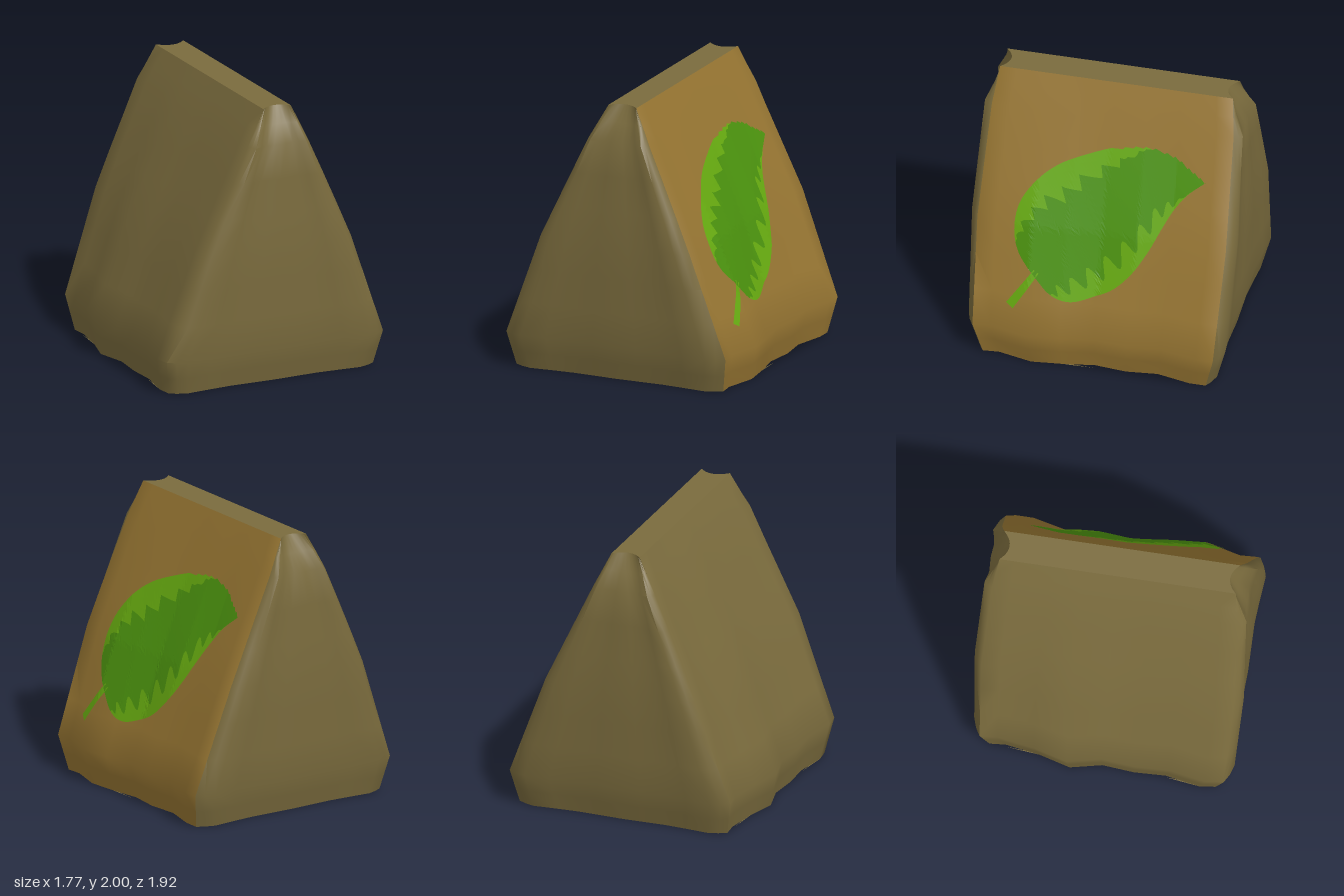
import * as THREE from 'three';
import { toCreasedNormals } from 'three/addons/utils/BufferGeometryUtils.js';

// Piecewise linear lookup
function table(xs, ys, x) {
  let i = 1;
  while (i < xs.length - 1 && x > xs[i]) i++;
  const t = THREE.MathUtils.clamp((x - xs[i - 1]) / (xs[i] - xs[i - 1]), 0, 1);
  return ys[i - 1] + (ys[i] - ys[i - 1]) * t;
}

// Cross-section rules by height
const LEVELS = [0, 0.25, 1, 1.75, 2];
const ROWS = [0, 0.12, 0.25, 0.5, 0.75, 1, 1.25, 1.5, 1.75, 1.88, 2];
const halfWidth = y => table(LEVELS, [0.835, 0.885, 0.6, 0.24, 0.107], y);
const depthScale = y => table(LEVELS, [0.9, 0.97, 1, 0.97, 0.933], y);
const ripple = y => table(LEVELS, [1, 1, 1, 0.5, 0], y);
const shift = y => table(LEVELS, [0, 0, 0, 0.005, 0.015], y);

// Rippled slopes, sampled from back to front
const SIDE_Z = [-0.9, -0.77, -0.5, -0.25, 0, 0.25, 0.5, 0.77, 0.9];
const LEFT_WAVE = [0.88, 0.88, 0.82, 0.845, 0.82, 0.86, 0.885, 0.82, 0.83];
const RIGHT_WAVE = [0.79, 0.78, 0.82, 0.885, 0.83, 0.85, 0.84, 0.885, 0.87];

function sideX(s, y, v) {
  const wave = table(SIDE_Z, s > 0 ? LEFT_WAVE : RIGHT_WAVE, v) / 0.885;
  return shift(y) + s * halfWidth(y) * (1 - (1 - wave) * ripple(y));
}
function sidePoint(s, y, v) {
  return [sideX(s, y, v), y, v * depthScale(y)];
}

// Bulged ends with chamfered corners and a hollow under the ridge
const END_U = [-1, -0.93, -0.84, -0.62, -0.42, -0.2, 0, 0.2, 0.42, 0.62, 0.84, 0.93, 1];
function endPoint(s, y, u) {
  const a = sideX(-1, y, s * 0.9), b = sideX(1, y, s * 0.9);
  const bulge = table([0, 0.42, 0.62, 0.84, 0.93, 1], [0.945, 0.935, 0.945, 0.96, 0.935, 0.9], Math.abs(u));
  const hollow = 0.9 - 0.06 * (1 - u * u);
  const top = THREE.MathUtils.clamp((y - 1.75) / 0.25, 0, 1);
  return [a + (b - a) * (u + 1) / 2, y, s * depthScale(y) * THREE.MathUtils.lerp(bulge, hollow, top)];
}

// Grid of quads through fn(p, q); flip reverses the winding
function addPatch(out, ps, qs, fn, flip) {
  for (let i = 0; i < ps.length - 1; i++) {
    for (let j = 0; j < qs.length - 1; j++) {
      const a = fn(ps[i], qs[j]), b = fn(ps[i + 1], qs[j]);
      const c = fn(ps[i + 1], qs[j + 1]), d = fn(ps[i], qs[j + 1]);
      const tris = flip ? [a, c, b, a, d, c] : [a, b, c, a, c, d];
      for (const p of tris) out.push(...p);
    }
  }
}

function toGeometry(positions) {
  const g = new THREE.BufferGeometry();
  g.setAttribute('position', new THREE.Float32BufferAttribute(positions, 3));
  return g;
}

function makeBody(sideMat, bodyMat) {
  const pos = [];
  // Coloured slope first, so it forms its own group
  addPatch(pos, SIDE_Z, ROWS, (v, y) => sidePoint(1, y, v), true);
  const split = pos.length / 3;
  addPatch(pos, SIDE_Z, ROWS, (v, y) => sidePoint(-1, y, v), false);
  addPatch(pos, END_U, ROWS, (u, y) => endPoint(1, y, u), false);
  addPatch(pos, END_U, ROWS, (u, y) => endPoint(-1, y, u), true);
  // Ridge and underside: end strips plus the span between
  for (const [y, flip] of [[2, false], [0, true]]) {
    addPatch(pos, END_U, [0, 1], (u, t) => {
      const f = endPoint(1, y, u), b = endPoint(-1, y, u);
      return t ? b : f;
    }, flip);
    // Fill out to the rippled bottom edge
    if (y === 0) {
      for (const s of [1, -1]) {
        addPatch(pos, SIDE_Z, [0, 1], (v, t) => {
          const p = sidePoint(s, y, v);
          const a = sideX(s, y, -0.9), b = sideX(s, y, 0.9);
          return t ? p : [a + (b - a) * (v + 0.9) / 1.8, y, p[2]];
        }, s < 0);
      }
    }
  }
  const g = toCreasedNormals(toGeometry(pos), 0.98);
  g.addGroup(0, split, 0);
  g.addGroup(split, pos.length / 3 - split, 1);
  const mesh = new THREE.Mesh(g, [sideMat, bodyMat]);
  mesh.name = 'wedgeBody';
  return mesh;
}

// Lay a point (h = -z, y) just above the coloured slope
function onSlope(h, y, lift = 0.008) {
  return [sideX(1, y, -h / depthScale(y)) + lift, y, -h];
}

function curve(points) {
  return new THREE.CatmullRomCurve3(points.map(p => new THREE.Vector3(p[0], p[1], 0)));
}

function makeLeaf(darkMat, lightMat) {
  const group = new THREE.Group();
  group.name = 'leaf';
  const upper = curve([[-0.45, 0.69], [-0.56, 0.78], [-0.62, 0.92], [-0.61, 1.12], [-0.51, 1.29], [-0.36, 1.42],
    [-0.14, 1.52], [0.08, 1.59], [0.28, 1.615], [0.46, 1.58], [0.59, 1.51], [0.71, 1.44]]);
  const lower = curve([[-0.45, 0.69], [-0.38, 0.59], [-0.29, 0.53], [-0.18, 0.51], [-0.04, 0.55], [0.1, 0.62],
    [0.23, 0.75], [0.34, 0.92], [0.42, 1.08], [0.49, 1.21], [0.58, 1.33], [0.71, 1.44]]);
  const N = 120;
  const ts = Array.from({ length: N + 1 }, (_, i) => i / N);
  const steps = n => Array.from({ length: n + 1 }, (_, i) => i / n);
  const saw = x => x - Math.floor(x);
  // Jagged inner limits of the pale margins, as fractions across the leaf
  const topLimit = t => table([0.15, 0.24, 0.45, 0.62, 0.74], [0, 0.13, 0.2, 0.13, 0], t) * (0.7 + 0.75 * saw(t * 16));
  const lowLimit = t => 1 - table([0.14, 0.24, 0.5, 0.75, 0.94], [0, 0.16, 0.2, 0.25, 0], t)
    * (0.85 + 0.4 * Math.sin(t * 82));
  const across = (t, f) => {
    const a = upper.getPoint(t), b = lower.getPoint(t);
    if (t > 0.6 && t < 1) a.y -= 0.018 * saw(t * 28);
    a.lerp(b, f);
    return onSlope(a.x, a.y);
  };
  const strip = (name, mat, from, to, n) => {
    const pos = [];
    addPatch(pos, ts, steps(n), (t, q) => across(t, THREE.MathUtils.lerp(from(t), to(t), q)), true);
    const g = toGeometry(pos);
    g.computeVertexNormals();
    const mesh = new THREE.Mesh(g, mat);
    mesh.name = name;
    group.add(mesh);
  };
  strip('leafUpperMargin', lightMat, () => 0, topLimit, 3);
  strip('leafCentre', darkMat, topLimit, lowLimit, 12);
  strip('leafLowerMargin', lightMat, lowLimit, () => 1, 3);

  // Stem
  const stem = [];
  addPatch(stem, steps(8), [-1, 1], (t, s) => {
    const w = 0.022 + 0.008 * t;
    return onSlope(-0.44 - 0.175 * t + s * w * 0.84, 0.7 - 0.265 * t - s * w * 0.54);
  }, false);
  const g = toGeometry(stem);
  g.computeVertexNormals();
  const mesh = new THREE.Mesh(g, lightMat);
  mesh.name = 'leafStem';
  group.add(mesh);
  return group;
}

export function createModel() {
  const material = (name, color, side = THREE.FrontSide) => {
    const m = new THREE.MeshStandardMaterial({ color, side });
    m.name = name;
    return m;
  };
  const olive = material('olive brown', 0x7a6b3d);
  const ochre = material('ochre brown', 0x967532);
  const dark = material('leaf green', 0x4b920e, THREE.DoubleSide);
  const light = material('pale leaf green', 0x66aa10, THREE.DoubleSide);

  const model = new THREE.Group();
  model.name = 'leafWedge';
  model.add(makeBody(ochre, olive), makeLeaf(dark, light));
  return model;
}
